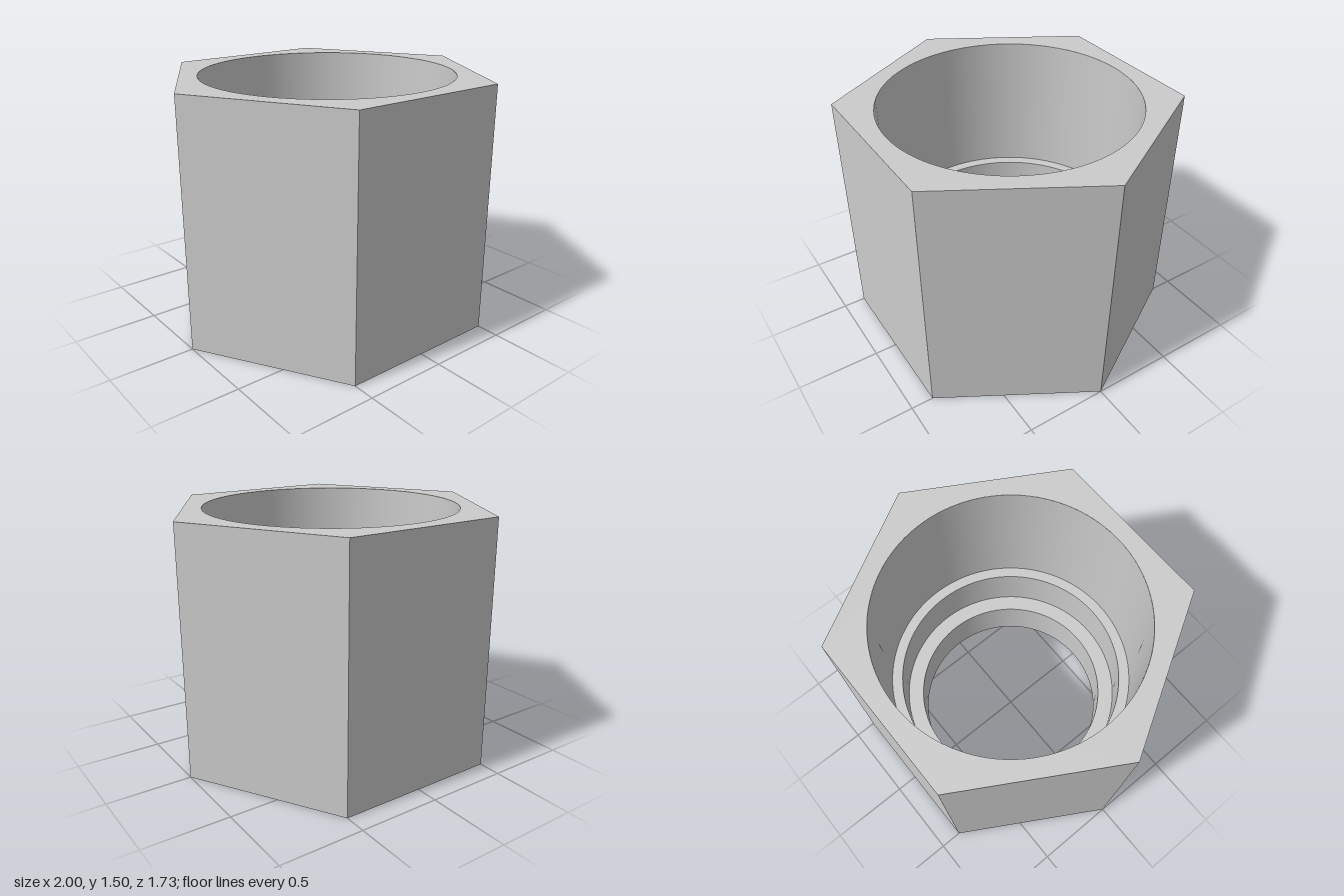
import * as THREE from 'three';

const HEIGHT = 1.5;
const SEGMENTS = 96;

// Bore from top to bottom: [radius, height]; flat ledges join the three cylinders
const BORE = [
  [0.76, HEIGHT], [0.76, 0.625],
  [0.695, 0.625], [0.695, 0.31],
  [0.597, 0.31], [0.597, 0],
];

export function createModel() {
  const group = new THREE.Group();
  const smooth = new THREE.MeshStandardMaterial({ color: 0xcccccc });
  const flat = new THREE.MeshStandardMaterial({ color: 0xcccccc, flatShading: true });

  const add = (name, geometry, material) => {
    const mesh = new THREE.Mesh(geometry, material);
    mesh.name = name;
    group.add(mesh);
    return mesh;
  };

  // Six outer faces, with corners on the x axis
  const sides = new THREE.CylinderGeometry(1, 1, HEIGHT, 6, 1, true, Math.PI / 2);
  add('hexSides', sides.translate(0, HEIGHT / 2, 0), flat);

  // Hexagonal end face with a round hole
  const endFace = (holeRadius) => {
    const corners = Array.from({ length: 6 }, (_, i) =>
      new THREE.Vector2(Math.cos(i * Math.PI / 3), Math.sin(i * Math.PI / 3)));
    const shape = new THREE.Shape(corners);
    shape.holes.push(new THREE.Path().absarc(0, 0, holeRadius, 0, Math.PI * 2, true));
    return new THREE.ShapeGeometry(shape, SEGMENTS);
  };
  add('topFace', endFace(BORE[0][0]).rotateX(-Math.PI / 2).translate(0, HEIGHT, 0), flat);
  add('bottomFace', endFace(BORE[5][0]).rotateX(Math.PI / 2), flat);

  // Stepped bore, one lathe per wall or ledge so the edges stay sharp
  for (let i = 0; i < BORE.length - 1; i++) {
    const points = [BORE[i], BORE[i + 1]].map(([r, y]) => new THREE.Vector2(r, y));
    const name = i % 2 ? 'boreLedge' : 'boreWall';
    add(name, new THREE.LatheGeometry(points, SEGMENTS), smooth);
  }

  return group;
}
